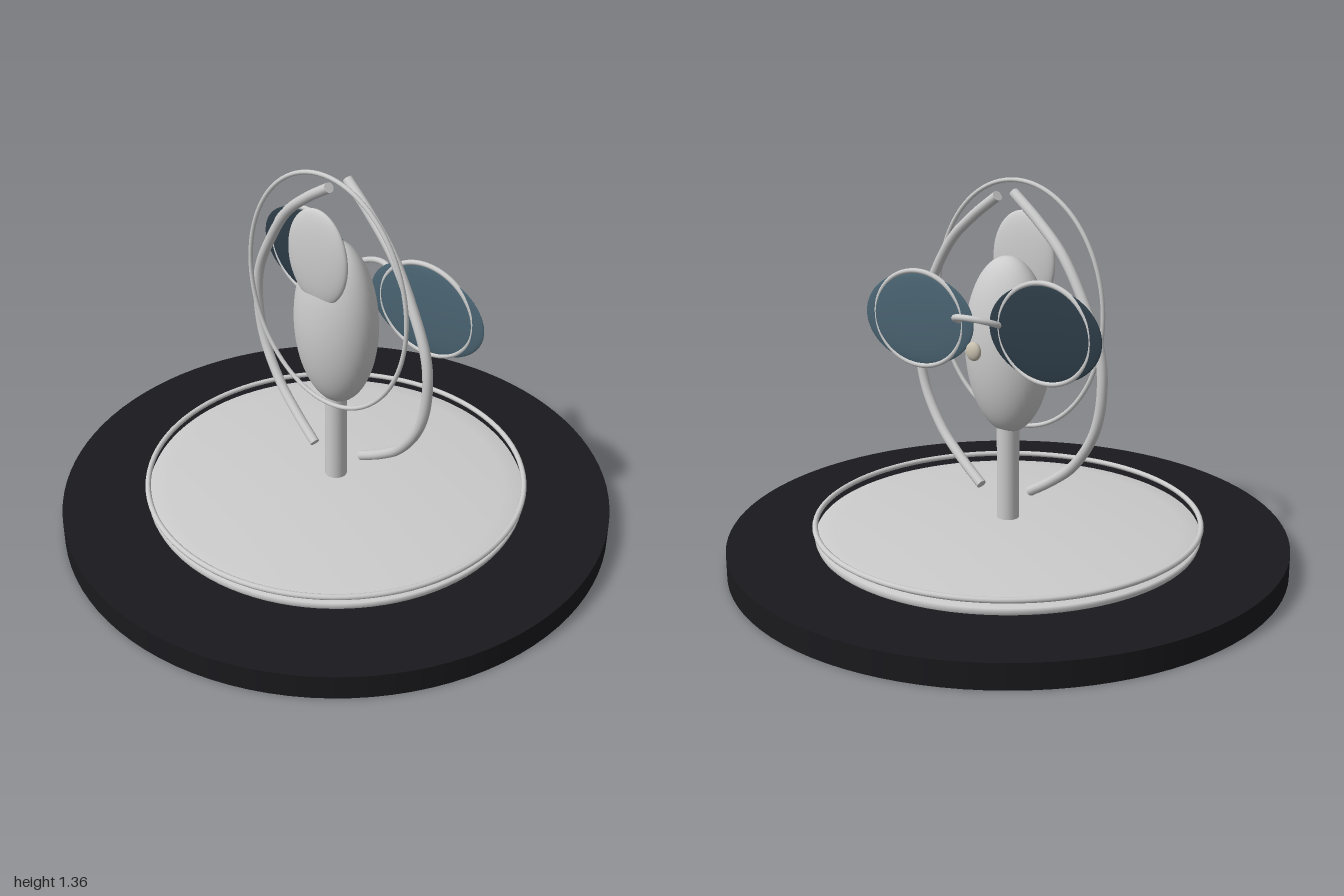
import * as THREE from 'three';

const paint = (color = 0xcccccc, side = THREE.FrontSide) => new THREE.MeshStandardMaterial({ color, side });
const grey = paint();

function add(parent, name, geometry, material = grey, position = [0, 0, 0]) {
  const mesh = new THREE.Mesh(geometry, material);
  mesh.name = name;
  mesh.position.set(...position);
  parent.add(mesh);
  return mesh;
}

const ellipsoid = (rx, ry, rz) => new THREE.SphereGeometry(1, 48, 32).scale(rx, ry, rz);

// Torus in the xy plane stretched along its path, keeping a round tube
function ovalRing(rx, ry, tube) {
  class Oval extends THREE.Curve {
    getPoint(t, target = new THREE.Vector3()) {
      const a = t * Math.PI * 2;
      return target.set(rx * Math.cos(a), ry * Math.sin(a), 0);
    }
  }
  return new THREE.TubeGeometry(new Oval(), 96, tube, 10, true);
}

export function createModel() {
  const model = new THREE.Group();
  model.name = 'sculpture';

  // Dark round base
  add(model, 'base', new THREE.CylinderGeometry(1, 1, 0.09, 96), paint(0x1a1a1e), [0, 0.045, 0]);

  // Shallow domed plate with a floating rim
  const profile = [new THREE.Vector2(0.685, 0.09), new THREE.Vector2(0.69, 0.103), new THREE.Vector2(0.685, 0.113)];
  for (let i = 1; i <= 10; i++) {
    const r = 0.685 * (1 - i / 10);
    profile.push(new THREE.Vector2(r, 0.113 + 0.035 * (1 - (r / 0.685) ** 2)));
  }
  add(model, 'plate', new THREE.LatheGeometry(profile, 96), paint(0xcccccc, THREE.DoubleSide));
  add(model, 'plateRim', new THREE.TorusGeometry(0.688, 0.01, 10, 96).rotateX(Math.PI / 2), grey, [0, 0.143, 0]);

  // Post, body and head
  add(model, 'post', new THREE.CylinderGeometry(0.04, 0.04, 0.4, 32), grey, [0, 0.32, 0]);
  add(model, 'body', ellipsoid(0.166, 0.315, 0.122), grey, [0, 0.785, 0]);
  add(model, 'head', ellipsoid(0.132, 0.175, 0.03), grey, [0, 1.07, 0.09]);

  // Thin oval hoop
  add(model, 'hoop', ovalRing(0.357, 0.435, 0.008), grey, [0, 0.917, 0.054]);

  // Two bent arms, one the half-turn of the other about the upright axis
  const armPath = new THREE.CatmullRomCurve3(
    [[0, 1.31], [0.12, 1.23], [0.24, 1.13], [0.34, 0.99], [0.42, 0.83], [0.432, 0.69], [0.4, 0.55], [0.305, 0.41], [0.2, 0.325], [0.09, 0.255]]
      .map(([x, y]) => new THREE.Vector3(x, y, -0.045 + 0.2 * x)));
  const armShape = new THREE.TubeGeometry(armPath, 80, 0.018, 14);
  for (const [name, turn] of [['leftArm', 0], ['rightArm', Math.PI]]) {
    const arm = new THREE.Group();
    arm.name = name;
    arm.position.x = 0.01;
    arm.rotation.y = turn;
    add(arm, name + 'Tube', armShape);
    // Flat end caps
    for (const t of [0, 1]) {
      const cap = add(arm, name + 'Cap', new THREE.CircleGeometry(0.018, 14));
      const p = armPath.getPoint(t);
      cap.position.copy(p);
      const out = armPath.getTangent(t).multiplyScalar(t ? 1 : -1);
      cap.quaternion.setFromUnitVectors(new THREE.Vector3(0, 0, 1), out);
    }
    model.add(arm);
  }

  // Spectacles behind the body, slightly tilted
  const glasses = new THREE.Group();
  glasses.name = 'spectacles';
  glasses.position.set(0, 0.885, -0.158);
  glasses.rotation.z = -0.055;
  for (const [side, s, color] of [['left', 1, 0x4a6472], ['right', -1, 0x2c3b46]]) {
    const eye = new THREE.Group();
    eye.name = side + 'Eyepiece';
    eye.position.x = s * 0.27;
    eye.rotation.y = s * 0.05;
    add(eye, side + 'Lens', ellipsoid(0.236, 0.163, 0.014), paint(color));
    add(eye, side + 'Rim', ovalRing(0.19, 0.168, 0.009));
    glasses.add(eye);
  }
  const bridge = add(glasses, 'bridge', new THREE.TorusGeometry(0.085, 0.011, 10, 40, Math.PI), grey, [0, 0.01, 0]);
  bridge.rotation.x = -Math.PI / 2 + 0.4;
  model.add(glasses);

  // Small bead under the bridge
  add(model, 'bead', ellipsoid(0.03, 0.033, 0.017), paint(0xc8c0b0), [0, 0.803, -0.19]);

  return model;
}
